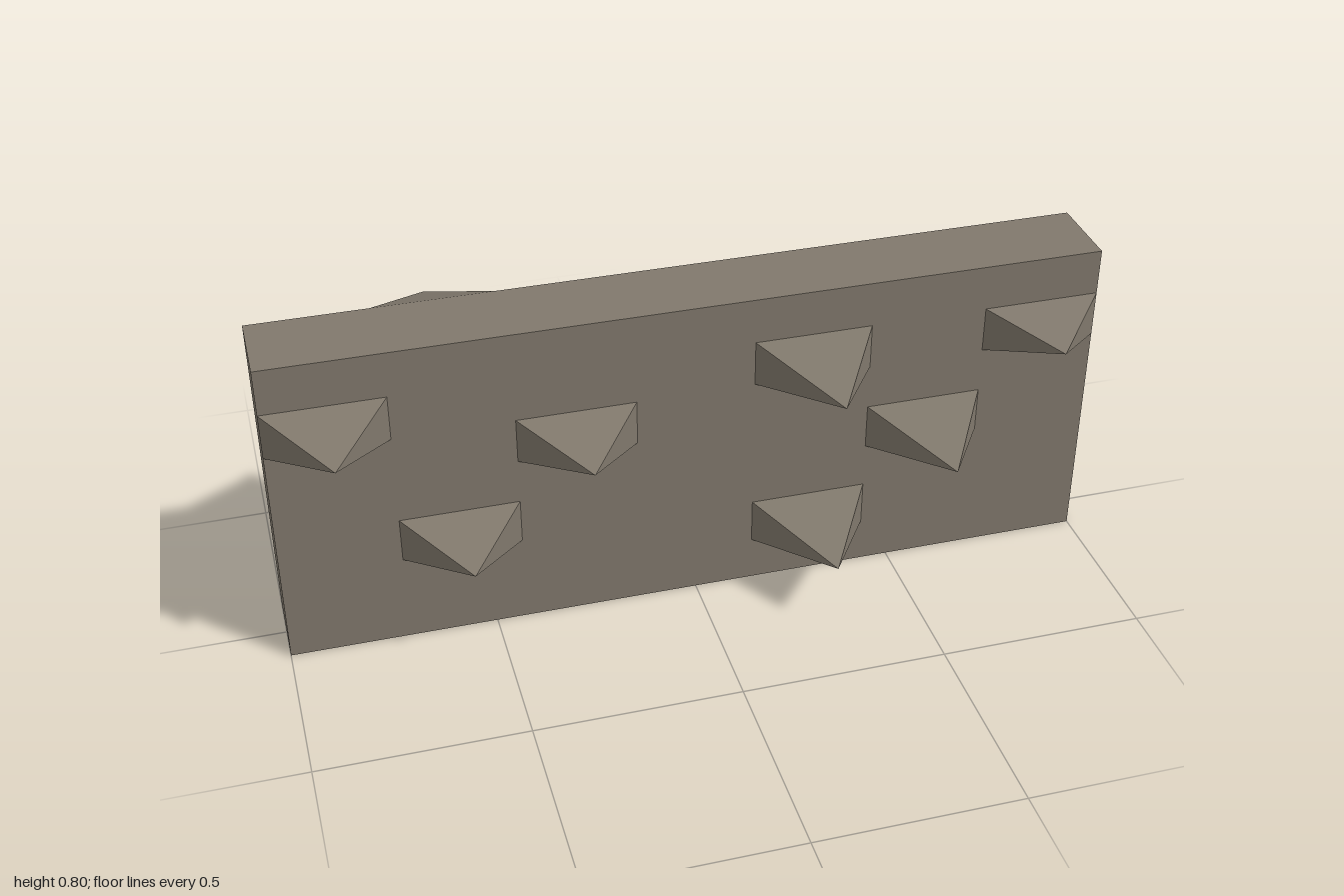
import * as THREE from 'three';

const COL = 2 / 7, ROW = 0.8 / 7;      // the slab is divided into a 7 x 7 grid
const FRONT = 0.09, BACK = -0.11;

// Four-sided pyramid with a rectangular base, tip along +z
function spikeGeometry(length) {
  const g = new THREE.ConeGeometry(Math.SQRT1_2, 1, 4, 1, true);
  g.rotateY(Math.PI / 4);
  g.translate(0, 0.5, 0);
  g.rotateX(Math.PI / 2);
  g.scale(COL, ROW, length);
  const flat = g.toNonIndexed();
  flat.computeVertexNormals();
  return flat;
}

export function createModel() {
  const model = new THREE.Group();
  model.name = 'spikedWall';
  const stone = new THREE.MeshStandardMaterial({ color: 0x80786c });
  stone.name = 'stone';

  // Wall slab
  const slab = new THREE.Mesh(new THREE.BoxGeometry(2, 0.8, FRONT - BACK), stone);
  slab.name = 'slab';
  slab.position.set(0, 0.4, (FRONT + BACK) / 2);
  model.add(slab);

  // Spikes: column from -x, row from the top, length
  const frontSpikes = [
    [0, 1, 0.18], [4, 1, 0.237], [6, 1, 0.155], [2, 2, 0.18],
    [5, 3, 0.237], [1, 4, 0.18], [4, 5, 0.237],
  ];
  const backSpikes = [
    [1, 0, 0.14], [3, 1, 0.18], [5, 2, 0.18], [0, 2, 0.14], [3, 3, 0.18],
    [5, 4, 0.218], [1, 4, 0.14], [3, 5, 0.218], [5, 6, 0.218],
  ];
  const addSpikes = (list, name, z, turn) => {
    for (const [col, row, length] of list) {
      const spike = new THREE.Mesh(spikeGeometry(length), stone);
      spike.name = name;
      spike.position.set((col - 3) * COL, 0.8 - (row + 0.5) * ROW, z);
      spike.rotation.y = turn;
      model.add(spike);
    }
  };
  addSpikes(frontSpikes, 'frontSpike', FRONT, 0);
  addSpikes(backSpikes, 'backSpike', BACK, Math.PI);
  return model;
}
